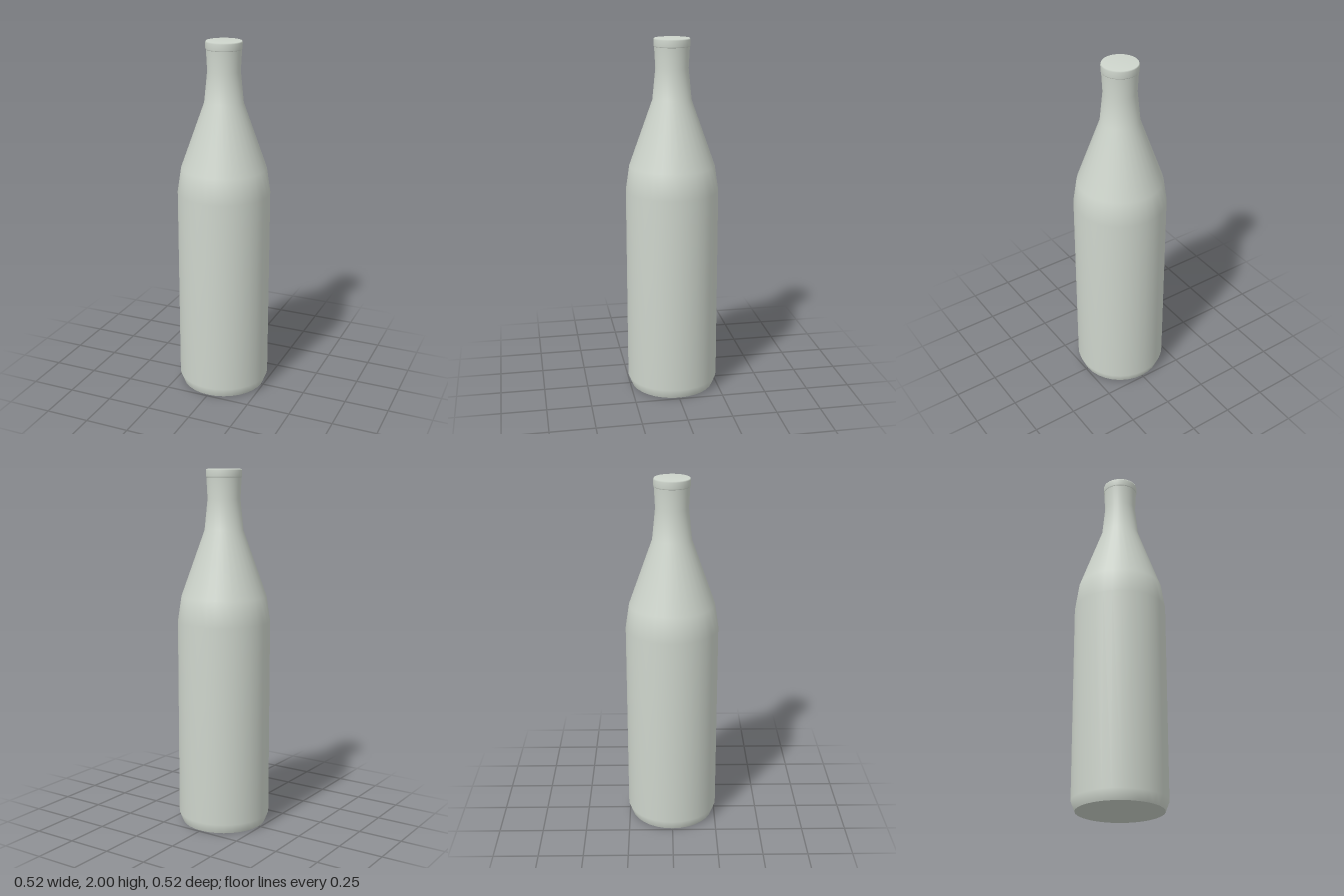
import * as THREE from 'three';

const SEGMENTS = 32;

export function createModel() {
  const model = new THREE.Group();
  model.name = 'bottle';

  const glass = new THREE.MeshStandardMaterial({ color: 0xced5cc });
  glass.name = 'pale grey green';

  // Smooth turned part from [radius, height] pairs, listed bottom to top
  const turn = (name, profile) => {
    const points = profile.map(([r, y]) => new THREE.Vector2(r, y));
    const mesh = new THREE.Mesh(new THREE.LatheGeometry(points, SEGMENTS), glass);
    mesh.name = name;
    model.add(mesh);
  };

  // Flat underside with a sharp rim
  turn('base', [[0, 0], [0.237, 0]]);

  // Chamfered foot, straight wall, sloping shoulder and waisted neck
  turn('body', [
    [0.237, 0], [0.258, 0.055], [0.258, 1.165], [0.237, 1.305],
    [0.107, 1.67], [0.09, 1.84], [0.096, 1.955],
  ]);

  // Closed lip, softly shaded over the top
  turn('lip', [[0.096, 1.955], [0.099, 1.96], [0.099, 1.993], [0.096, 2], [0, 2]]);

  return model;
}
